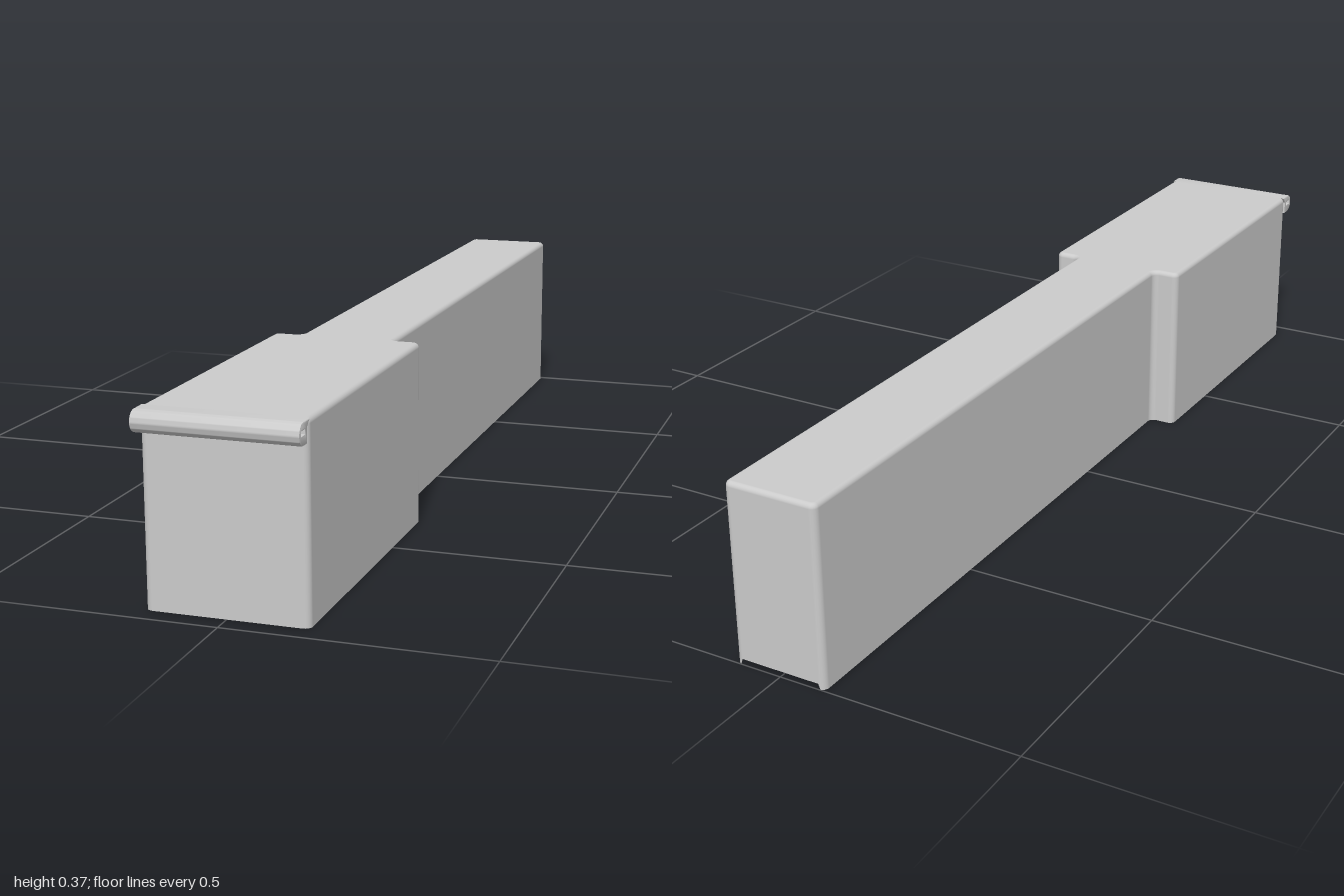
import * as THREE from 'three';
import { toCreasedNormals } from 'three/addons/utils/BufferGeometryUtils.js';

const H = 0.372;              // overall height
const W = 0.155, N = 0.098;   // half widths of the wide and narrow sections
const FRONT = 0.96, STEP = 0.317, BACK = -1;
const R = 0.014, F = 0.01;    // corner radius in plan, fillet along the top edge
const SEG = 5;

// Plan corners: x, z, starting normal angle in degrees, +1 convex / -1 concave
const corners = [
  [-W, FRONT, 90, 1], [-W, STEP, 180, 1], [-N, STEP, 270, -1], [-N, BACK, 180, 1],
  [N, BACK, 270, 1], [N, STEP, 360, -1], [W, STEP, 270, 1], [W, FRONT, 0, 1],
];

// Rounded plan outline, moved inward by d, with its outward normals
function outline(d) {
  const points = [];
  for (const [x, z, start, s] of corners) {
    const a0 = THREE.MathUtils.degToRad(start), a1 = a0 + s * Math.PI / 2;
    const cx = x - s * R * (Math.cos(a0) + Math.cos(a1));
    const cz = z - s * R * (Math.sin(a0) + Math.sin(a1));
    for (let i = 0; i <= SEG; i++) {
      const a = a0 + (a1 - a0) * i / SEG, nx = Math.cos(a), nz = Math.sin(a);
      const r = s * R - d;
      points.push({ x: cx + r * nx, z: cz + r * nz, nx, nz });
    }
  }
  return points;
}

// Side walls with a filleted top edge, open underneath
function wallGeometry() {
  const rings = [];
  for (let i = SEG; i >= 0; i--) {
    const t = (i / SEG) * Math.PI / 2;
    rings.push({ d: F * (1 - Math.cos(t)), y: H - F + F * Math.sin(t), t });
  }
  rings.push({ d: 0, y: 0, t: 0 });
  const position = [], normal = [], index = [];
  let n = 0;
  rings.forEach(({ d, y, t }, k) => {
    const ring = outline(d);
    n = ring.length;
    ring.forEach((p, i) => {
      // the end wall stops slightly above the floor between its corners
      const raised = y === 0 && p.z < BACK + 0.001 && p.nz < -0.99;
      position.push(p.x, raised ? 0.012 : y, p.z);
      normal.push(p.nx * Math.cos(t), Math.sin(t), p.nz * Math.cos(t));
      if (k > 0) {
        const j = (i + 1) % n, top = (k - 1) * n, low = k * n;
        index.push(top + i, top + j, low + i, top + j, low + j, low + i);
      }
    });
  });
  const g = new THREE.BufferGeometry();
  g.setAttribute('position', new THREE.Float32BufferAttribute(position, 3));
  g.setAttribute('normal', new THREE.Float32BufferAttribute(normal, 3));
  g.setIndex(index);
  return g;
}

// Flat top panel inside the fillet
function topGeometry() {
  const shape = new THREE.Shape(outline(F).map(p => new THREE.Vector2(p.x, -p.z)));
  return new THREE.ShapeGeometry(shape).rotateX(-Math.PI / 2).translate(0, H, 0);
}

// Rolled front lip: rounded profile (z, y) run across the width, slotted at its ends
function lipGeometry() {
  const r = 0.021, bevel = 0.003;
  const shape = new THREE.Shape();
  shape.moveTo(0.949, H);
  shape.lineTo(0.962, H - 0.014);
  shape.lineTo(0.962, H - 2 * r);
  shape.lineTo(1 - r, H - 2 * r);
  shape.absarc(1 - r, H - r, r, -Math.PI / 2, Math.PI / 2, false);
  shape.closePath();
  const slot = new THREE.Path();
  slot.moveTo(0.972, 0.349);
  slot.lineTo(0.972, 0.357);
  slot.lineTo(0.99, 0.357);
  slot.lineTo(0.99, 0.349);
  slot.closePath();
  shape.holes.push(slot);
  const depth = 2 * (W - bevel);
  const g = new THREE.ExtrudeGeometry(shape, {
    depth, curveSegments: 16, bevelEnabled: true, bevelThickness: bevel,
    bevelSize: bevel, bevelOffset: -bevel, bevelSegments: 2,
  });
  g.rotateY(-Math.PI / 2).translate(depth / 2, 0, 0);
  return toCreasedNormals(g, 0.6);
}

export function createModel() {
  const model = new THREE.Group();
  model.name = 'steppedCover';
  const material = new THREE.MeshStandardMaterial({ color: 0xcccccc, side: THREE.DoubleSide });
  const parts = { walls: wallGeometry(), topPanel: topGeometry(), frontLip: lipGeometry() };
  for (const [name, geometry] of Object.entries(parts)) {
    const mesh = new THREE.Mesh(geometry, material);
    mesh.name = name;
    model.add(mesh);
  }
  return model;
}
